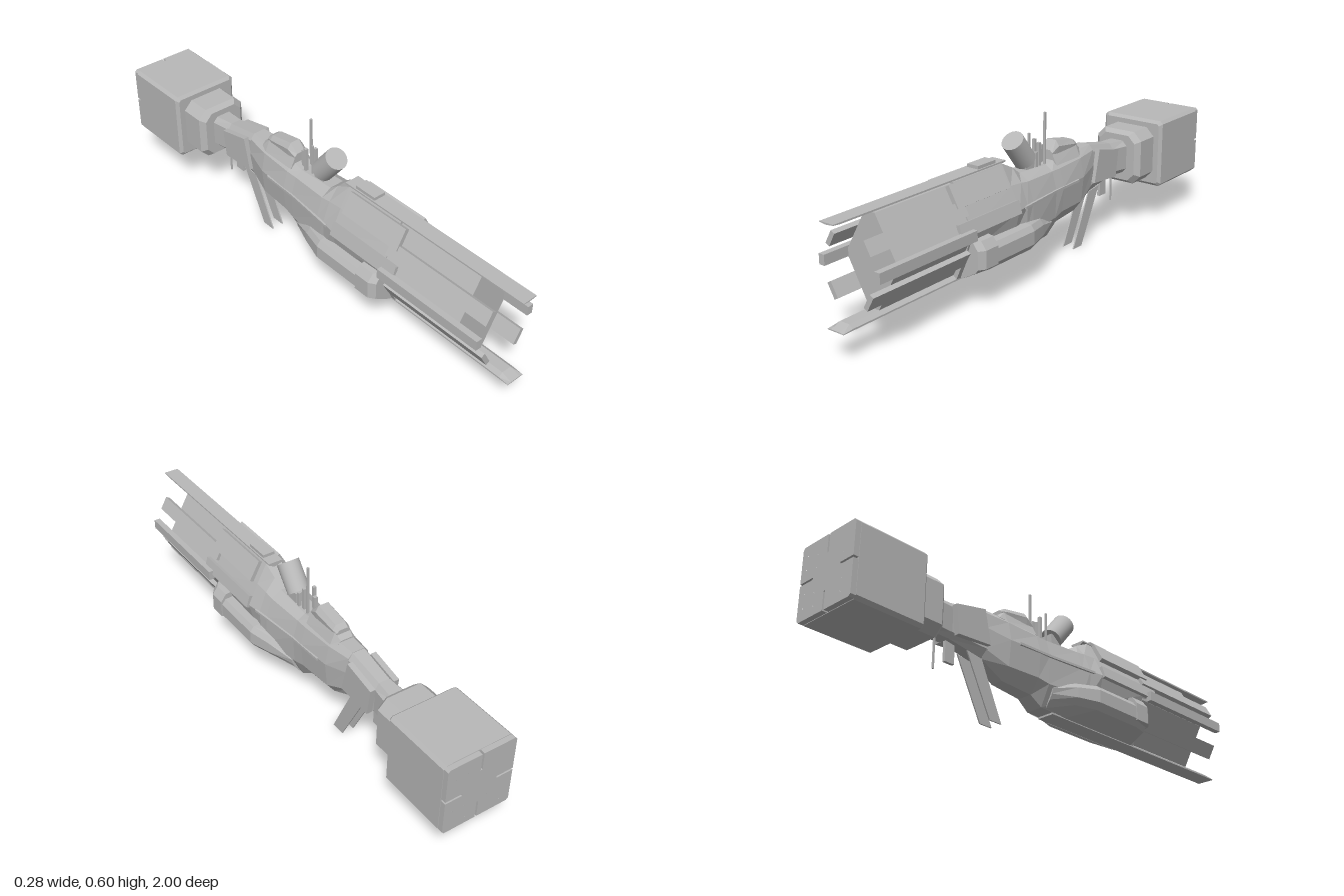
import * as THREE from 'three';
import { toCreasedNormals } from 'three/addons/utils/BufferGeometryUtils.js';

const hullGrey = new THREE.MeshStandardMaterial({ color: 0xb8b8b8 });

export function createModel() {
  const ship = new THREE.Group();

  function add(name, geometry) {
    const mesh = new THREE.Mesh(geometry, hullGrey);
    mesh.name = name;
    ship.add(mesh);
    return mesh;
  }

  // Faceted skin over sections [z, ring], z rising, rings clockwise seen from +z
  function loft(sections) {
    const p = [];
    const tri = (...corners) => corners.forEach(c => p.push(...c));
    const rings = sections.map(([z, ring]) => ring.map(([x, y]) => [x, y, z]));
    const n = rings[0].length;
    const centre = r => [0, 1, 2].map(k => r.reduce((s, c) => s + c[k], 0) / n);
    const last = rings[rings.length - 1];
    for (let i = 0; i < n; i++) {
      const j = (i + 1) % n;
      for (let s = 0; s + 1 < rings.length; s++) {
        const a = rings[s], b = rings[s + 1];
        tri(a[i], b[i], b[j]);
        tri(a[i], b[j], a[j]);
      }
      tri(centre(rings[0]), rings[0][i], rings[0][j]);
      tri(centre(last), last[j], last[i]);
    }
    const g = new THREE.BufferGeometry();
    g.setAttribute('position', new THREE.Float32BufferAttribute(p, 3));
    g.computeVertexNormals();
    return g;
  }
  const flip = ring => ring.map(([x, y]) => [-x, y]).reverse();
  const sym = sections => loft(sections.map(([z, half]) => [z, [...half, ...flip(half)]]));
  const pair = (name, sections) => {
    add(name + 'Left', loft(sections));
    add(name + 'Right', loft(sections.map(([z, r]) => [z, flip(r)])));
  };

  function box(name, w, h, d, x, y, z, rotZ = 0) {
    const m = add(name, new THREE.BoxGeometry(w, h, d));
    m.position.set(x, y, z);
    m.rotation.z = rotZ;
    return m;
  }
  // Long plate running from z0 to z1, on both sides
  function bars(name, x, y, thick, height, z0, z1, tilt = 0) {
    for (const s of [1, -1]) {
      box(name + (s > 0 ? 'Left' : 'Right'), thick, height, z1 - z0, s * x, y, (z0 + z1) / 2, s * tilt);
    }
  }
  // Plate drawn as [z, y] points, thickened across x
  function sidePlate(name, pts, x, t) {
    const shape = new THREE.Shape(pts.map(([z, y]) => new THREE.Vector2(z, y)));
    const g = new THREE.ExtrudeGeometry(shape, { depth: t, bevelEnabled: false });
    g.rotateY(-Math.PI / 2).translate(x + t / 2, 0, 0);
    return add(name, g);
  }

  // Main hull
  sym.name;
  add('hull', sym([
    [-0.35, [[0.025, 0.41], [0.042, 0.39], [0.048, 0.33], [0.042, 0.25], [0.025, 0.215]]],
    [-0.25, [[0.03, 0.41], [0.055, 0.385], [0.07, 0.31], [0.06, 0.21], [0.025, 0.165]]],
    [-0.11, [[0.03, 0.41], [0.06, 0.38], [0.08, 0.31], [0.07, 0.21], [0.03, 0.155]]],
    [-0.06, [[0.03, 0.40], [0.06, 0.38], [0.08, 0.31], [0.075, 0.20], [0.035, 0.12]]],
    [0.10, [[0.03, 0.41], [0.07, 0.385], [0.095, 0.31], [0.095, 0.20], [0.035, 0.118]]],
    [0.14, [[0.03, 0.44], [0.07, 0.39], [0.10, 0.31], [0.095, 0.21], [0.035, 0.115]]],
    [0.20, [[0.03, 0.47], [0.07, 0.395], [0.11, 0.31], [0.085, 0.21], [0.035, 0.115]]],
    [0.46, [[0.03, 0.47], [0.07, 0.395], [0.112, 0.31], [0.075, 0.205], [0.035, 0.115]]],
  ]));
  const diamond = [[0.022, 0.463], [0.107, 0.315], [0.107, 0.285], [0.022, 0.13]];
  add('forwardCore', sym([[0.44, diamond], [0.82, diamond]]));

  // Neck and stern collar
  add('neck', sym([
    [-0.60, [[0.03, 0.37], [0.05, 0.35], [0.05, 0.255], [0.03, 0.235]]],
    [-0.50, [[0.022, 0.378], [0.038, 0.355], [0.038, 0.26], [0.022, 0.24]]],
    [-0.34, [[0.025, 0.41], [0.042, 0.385], [0.045, 0.25], [0.025, 0.215]]],
  ]));
  for (const s of [1, -1]) {
    sidePlate('neckPlate', [[-0.37, 0.39], [-0.505, 0.36], [-0.49, 0.25], [-0.34, 0.26]], s * 0.05, 0.022);
  }
  const octagon = (w, y0, y1, c) => [[w - c, y1], [w, y1 - c], [w, y0 + c], [w - c, y0]];
  add('sternCollar', sym([
    [-0.71, octagon(0.105, 0.19, 0.41, 0.035)],
    [-0.605, octagon(0.105, 0.19, 0.41, 0.035)],
    [-0.585, octagon(0.085, 0.205, 0.395, 0.03)],
  ]));

  // Engine block with a recessed rear plate
  add('engineBlock', sym([
    [-0.98, octagon(0.14, 0.162, 0.442, 0.012)],
    [-0.712, octagon(0.14, 0.162, 0.442, 0.012)],
    [-0.70, octagon(0.128, 0.174, 0.43, 0.008)],
  ]));
  const rear = new THREE.Shape();
  const side = [[-0.13, 0.138], [-0.004, 0.138], [-0.004, 0.07], [0.004, 0.07], [0.004, 0.138], [0.13, 0.138]];
  const outline = [];
  for (let q = 0; q < 4; q++) {
    for (const [x, y] of side) {
      outline.push(new THREE.Vector2(x, y).rotateAround(new THREE.Vector2(), -q * Math.PI / 2));
    }
  }
  rear.setFromPoints(outline);
  for (const x of [-0.095, -0.046, 0.046, 0.095]) {
    for (const y of [-0.095, -0.046, 0.046, 0.095]) {
      rear.holes.push(new THREE.Path().absarc(x, y, 0.015, 0, Math.PI * 2, true));
    }
  }
  const rearGeometry = new THREE.ExtrudeGeometry(rear, { depth: 0.02, bevelEnabled: false, curveSegments: 10 });
  add('nozzlePlate', rearGeometry).position.set(0, 0.302, -1);

  // Forward spines with a wedge section
  add('topSpine', sym([
    [0.18, [[0.03, 0.478], [0.03, 0.472], [0.005, 0.458]]],
    [0.97, [[0.03, 0.478], [0.03, 0.472], [0.005, 0.462]]],
    [1.0, [[0.03, 0.478], [0.03, 0.475], [0.005, 0.472]]],
  ]));
  add('bottomSpine', sym([
    [0.0, [[0.02, 0.13], [0.036, 0.118], [0.036, 0.112]]],
    [0.95, [[0.02, 0.13], [0.036, 0.118], [0.036, 0.112]]],
    [0.99, [[0.02, 0.116], [0.036, 0.114], [0.036, 0.112]]],
  ]));
  box('spinePad', 0.05, 0.016, 0.095, 0, 0.482, 0.275);

  // Armour strips around the forward core
  bars('upperStrip', 0.078, 0.385, 0.018, 0.055, 0.46, 0.92, 0.51);
  bars('middleStrip', 0.123, 0.302, 0.024, 0.038, 0.46, 0.92);
  bars('lowerStrip', 0.08, 0.207, 0.018, 0.06, 0.46, 0.92, -0.51);
  bars('shoulderPlate', 0.059, 0.431, 0.018, 0.085, 0.225, 0.50, 0.51);
  bars('flankPlate', 0.107, 0.325, 0.014, 0.05, 0.20, 0.52, 0.3);

  // Lower sponsons and their forward blocks
  const sponson = (o, t) => [[0.07, t], [o - 0.015, t - 0.005], [o, t - 0.025], [o, 0.175], [o - 0.02, 0.15], [0.04, 0.113], [0.03, 0.18]];
  pair('sponson', [
    [-0.04, [[0.05, 0.2], [0.065, 0.2], [0.075, 0.19], [0.07, 0.17], [0.06, 0.15], [0.04, 0.122], [0.03, 0.18]]],
    [0.06, sponson(0.11, 0.24)],
    [0.15, sponson(0.138, 0.25)],
    [0.38, sponson(0.138, 0.25)],
    [0.44, sponson(0.125, 0.24)],
  ]);
  const block = o => [[0.08, 0.273], [o - 0.022, 0.268], [o, 0.238], [o, 0.17], [0.09, 0.16]];
  pair('sponsonBlock', [[0.36, block(0.142)], [0.425, block(0.142)], [0.45, block(0.125)]]);

  // Side rails along the hull
  const rail = x => [[x - 0.03, 0.316], [x, 0.313], [x, 0.304], [x - 0.03, 0.30]];
  pair('sideRail', [[-0.21, rail(0.079)], [-0.06, rail(0.085)], [0.16, rail(0.108)]]);

  // Bridge
  add('bridgeBase', sym([
    [-0.28, [[0.025, 0.415], [0.04, 0.40]]],
    [-0.25, [[0.03, 0.435], [0.05, 0.39]]],
    [-0.10, [[0.03, 0.43], [0.05, 0.39]]],
  ]));
  add('bridge', sym([
    [-0.26, [[0.018, 0.445], [0.028, 0.435], [0.025, 0.42]]],
    [-0.24, [[0.02, 0.457], [0.033, 0.44], [0.03, 0.42]]],
    [-0.135, [[0.02, 0.477], [0.035, 0.455], [0.03, 0.41]]],
    [-0.10, [[0.018, 0.445], [0.03, 0.435], [0.028, 0.41]]],
  ]));

  // Tilted dish drum on its mount
  const drum = add('dishDrum', toCreasedNormals(new THREE.CylinderGeometry(0.043, 0.043, 0.115, 24), 0.6));
  drum.position.set(-0.002, 0.48, 0.063);
  drum.rotation.x = 0.68;
  box('drumMount', 0.05, 0.05, 0.05, 0, 0.42, 0.03);

  // Masts: x, z, top height, width
  for (const [x, z, top, w] of [
    [0.02, -0.065, 0.6, 0.008], [-0.015, -0.015, 0.525, 0.007], [0.015, -0.035, 0.49, 0.012],
    [-0.018, -0.05, 0.495, 0.012], [-0.005, -0.075, 0.47, 0.014], [0.02, -0.01, 0.46, 0.012],
  ]) {
    box('mast', w, top - 0.39, w, x, (top + 0.39) / 2, z);
  }

  // Ventral fins, keel plate and rod
  for (const s of [1, -1]) {
    sidePlate('ventralFin', [[-0.25, 0], [-0.305, 0], [-0.42, 0.225], [-0.35, 0.215]], s * 0.024, 0.005);
  }
  box('keelPlate', 0.012, 0.09, 0.042, 0, 0.207, -0.48);
  box('keelRod', 0.006, 0.13, 0.006, 0, 0.185, -0.547);

  return ship;
}
